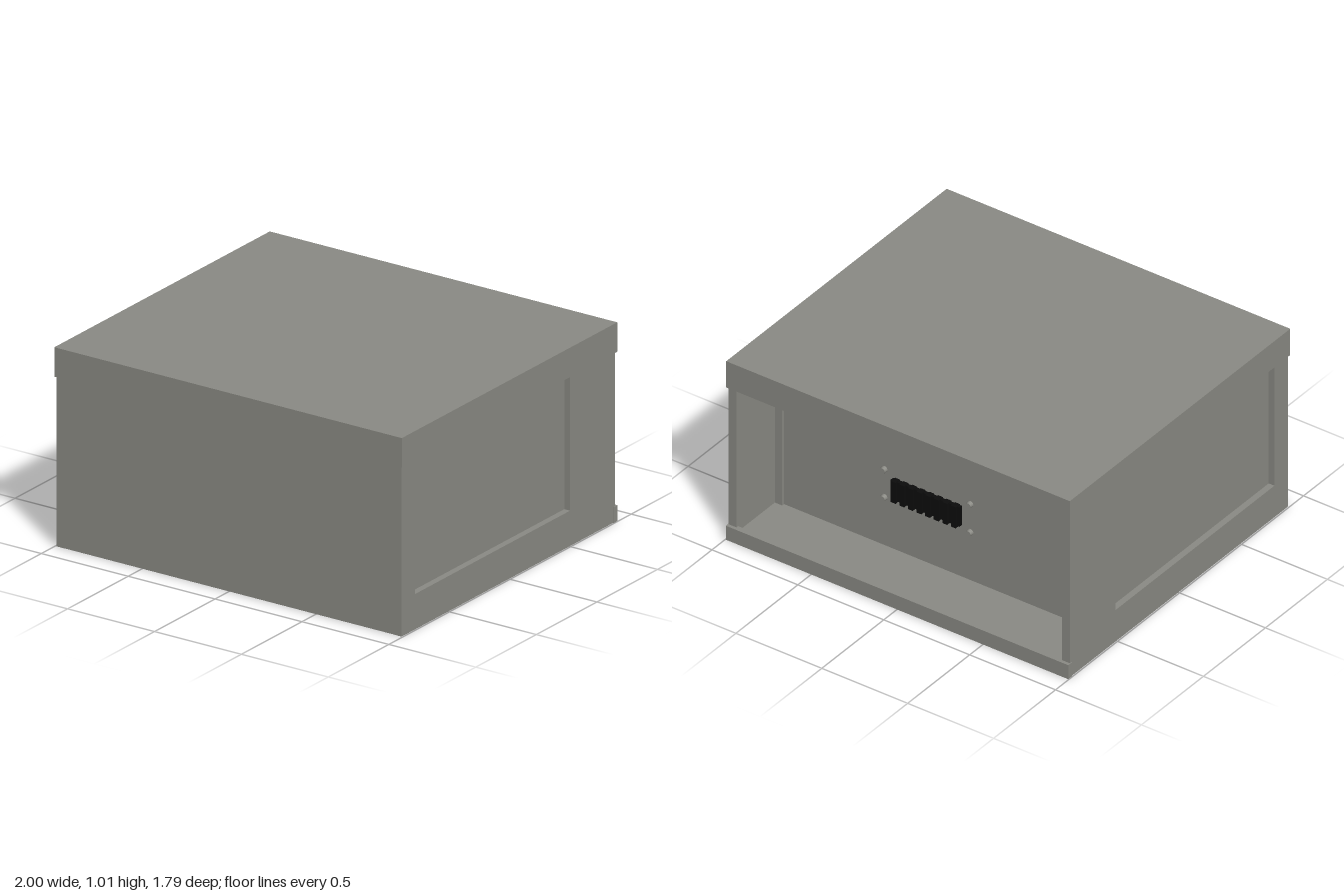
import * as THREE from 'three';

const grey = new THREE.MeshStandardMaterial({ color: 0x8a8a84 });
grey.name = 'warm grey metal';
const black = new THREE.MeshStandardMaterial({ color: 0x0c0c0c });
black.name = 'black plastic';

// Box given by its minimum and maximum corners
function block(parent, name, material, [x0, y0, z0], [x1, y1, z1]) {
  const mesh = new THREE.Mesh(new THREE.BoxGeometry(x1 - x0, y1 - y0, z1 - z0), material);
  mesh.position.set((x0 + x1) / 2, (y0 + y1) / 2, (z0 + z1) / 2);
  mesh.name = name;
  parent.add(mesh);
  return mesh;
}

export function createModel() {
  const model = new THREE.Group();
  model.name = 'equipmentBox';
  const panelZ = -0.55;

  // Main case, overhanging lid, and the open bay at the back
  block(model, 'caseCore', grey, [-0.96, 0, panelZ], [0.96, 0.87, 0.884]);
  block(model, 'lid', grey, [-1, 0.865, -0.885], [1, 1.015, 0.893]);
  block(model, 'bayFloor', grey, [-0.955, 0, -0.87], [0.955, 0.05, panelZ + 0.01]);
  block(model, 'backSill', grey, [-0.997, 0, -0.893], [0.997, 0.08, -0.862]);

  // Side frames with a sunken field below the lid; u runs towards the back
  const outline = [
    [-0.885, 0], [0.875, 0], [0.875, 0.866], [0.505, 0.866],
    [0.505, 0.18], [-0.775, 0.18], [-0.775, 0.866], [-0.885, 0.866],
  ];
  const shape = new THREE.Shape(outline.map(([u, v]) => new THREE.Vector2(u, v)));
  const frameGeometry = new THREE.ExtrudeGeometry(shape, { depth: 0.045, bevelEnabled: false });
  frameGeometry.rotateY(Math.PI / 2);
  for (const side of [-1, 1]) {
    const frame = new THREE.Mesh(frameGeometry, grey);
    frame.name = side > 0 ? 'leftSideFrame' : 'rightSideFrame';
    frame.position.x = side > 0 ? 0.948 : -0.993;
    model.add(frame);
    // Narrow upright beside the recessed back panel
    const x = side * 0.93;
    block(model, 'panelUpright', grey, [x - 0.025, 0.05, panelZ - 0.015], [x + 0.025, 0.866, panelZ + 0.01]);
  }

  // Black socket on the back panel
  const socket = new THREE.Group();
  socket.name = 'socket';
  socket.position.set(0.07, 0.4, panelZ);
  model.add(socket);
  block(socket, 'socketBody', black, [-0.2, -0.055, -0.02], [0.2, 0.055, 0.01]);
  for (let i = 0; i < 8; i++) {
    const x = -0.175 + i * 0.05;
    block(socket, 'socketRib', black, [x - 0.014, -0.06, -0.035], [x + 0.014, 0.06, 0]);
  }

  // Four small studs around the socket
  const studGeometry = new THREE.CylinderGeometry(0.015, 0.018, 0.025, 12).rotateX(-Math.PI / 2);
  for (const x of [-0.25, 0.25]) {
    for (const y of [-0.075, 0.085]) {
      const stud = new THREE.Mesh(studGeometry, grey);
      stud.name = 'stud';
      stud.position.set(x, y, -0.008);
      socket.add(stud);
    }
  }
  return model;
}
